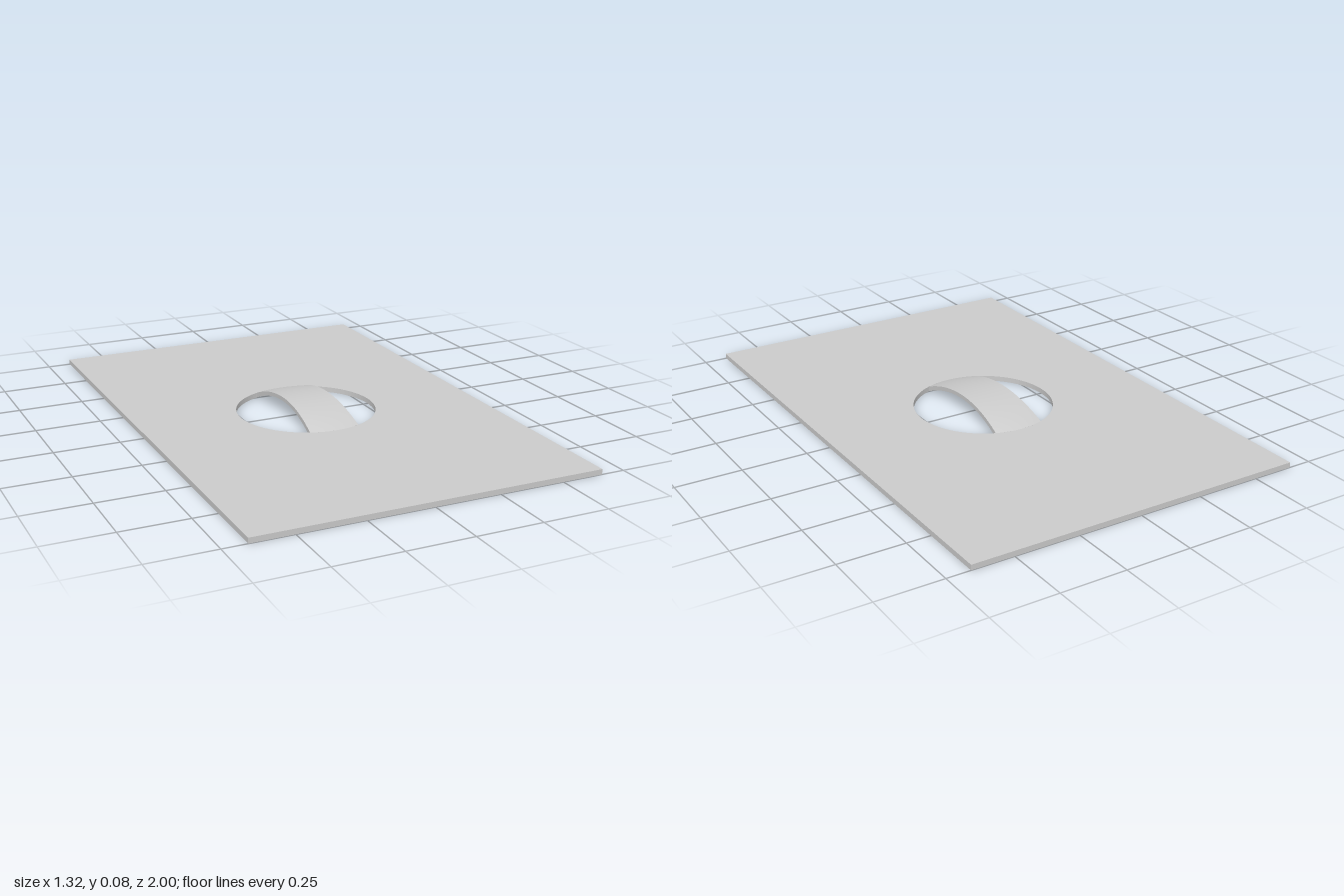
import * as THREE from 'three';

const HOLE_R = 0.27;
const THICK = 0.02;

// Flat sheet with a round opening
function makePlate(material) {
  const shape = new THREE.Shape();
  shape.moveTo(-0.66, -1);
  shape.lineTo(0.66, -1);
  shape.lineTo(0.66, 1);
  shape.lineTo(-0.66, 1);
  shape.closePath();
  const hole = new THREE.Path();
  hole.absarc(0, 0, HOLE_R, 0, Math.PI * 2, true);
  shape.holes.push(hole);
  const geo = new THREE.ExtrudeGeometry(shape, { depth: THICK, bevelEnabled: false, curveSegments: 48 });
  geo.rotateX(-Math.PI / 2);
  const mesh = new THREE.Mesh(geo, material);
  mesh.name = 'plate';
  return mesh;
}

// Bowed strap across the opening; its ends follow the rim of the hole
function makeStrap(material) {
  const geo = new THREE.BoxGeometry(2, 2, 2, 8, 1, 32);
  const pos = geo.attributes.position;
  for (let i = 0; i < pos.count; i++) {
    const t = pos.getZ(i);
    const rise = 1 - t * t;
    const x = pos.getX(i) * (0.1 - 0.008 * rise);
    const z = t * Math.sqrt(HOLE_R * HOLE_R - x * x);
    const y = pos.getY(i) > 0 ? THICK + 0.055 * rise : 0.06 * rise;
    pos.setXYZ(i, x, y, z);
  }
  geo.computeVertexNormals();
  const mesh = new THREE.Mesh(geo, material);
  mesh.name = 'archedStrap';
  return mesh;
}

export function createModel() {
  const material = new THREE.MeshStandardMaterial({ color: 0xcccccc });
  const group = new THREE.Group();
  group.name = 'plateWithArchedStrap';
  group.add(makePlate(material), makeStrap(material));
  return group;
}
